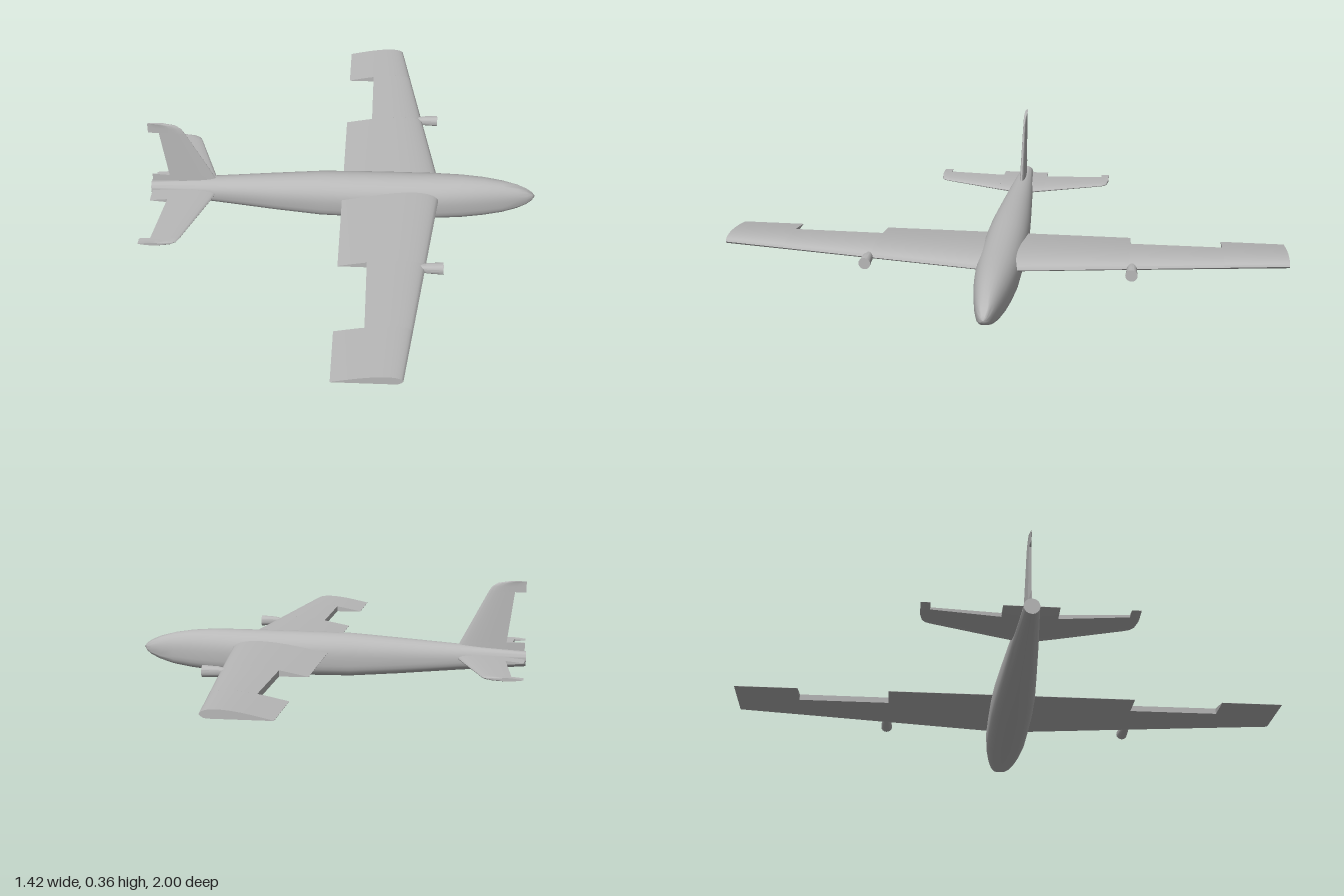
import * as THREE from 'three';
import { toCreasedNormals } from 'three/addons/utils/BufferGeometryUtils.js';

// Joins closed rings of points into a capped solid whose faces point outward
function loft(rings, crease = 0.6) {
  const n = rings[0].length, tris = [];
  for (let i = 0; i < rings.length - 1; i++) {
    for (let j = 0; j < n; j++) {
      const k = (j + 1) % n, a = rings[i], b = rings[i + 1];
      tris.push([a[j], b[j], b[k]], [a[j], b[k], a[k]]);
    }
  }
  const cap = (ring, flip) => {
    const c = [0, 1, 2].map(d => ring.reduce((s, p) => s + p[d], 0) / n);
    for (let j = 0; j < n; j++) {
      const p = ring[j], q = ring[(j + 1) % n];
      tris.push(flip ? [c, q, p] : [c, p, q]);
    }
  };
  cap(rings[0], false);
  cap(rings[rings.length - 1], true);
  // A negative volume means the winding is inside out
  let volume = 0;
  for (const [a, b, c] of tris) {
    volume += new THREE.Vector3(...a).dot(new THREE.Vector3(...b).cross(new THREE.Vector3(...c)));
  }
  if (volume < 0) tris.forEach(t => t.reverse());
  const geo = new THREE.BufferGeometry();
  geo.setAttribute('position', new THREE.Float32BufferAttribute(tris.flat(2), 3));
  return toCreasedNormals(geo, crease);
}

// Thickness of an aerofoil from leading edge (0) to trailing edge (1), peak 1
const foil = u => Math.max(0.04,
  10 * (0.2969 * Math.sqrt(u) - 0.126 * u - 0.3516 * u * u + 0.2843 * u ** 3 - 0.1036 * u ** 4));

// Aerofoil outline as [x, height], cut off behind x = cut
function section(lead, trail, cut, top, bottom, steps = 12) {
  const upper = [], lower = [];
  for (let i = 0; i <= steps; i++) {
    const u = (i / steps) ** 2 * (lead - cut) / (lead - trail);
    const x = lead + (trail - lead) * u;
    upper.unshift([x, top(u)]);
    lower.push([x, bottom(u)]);
  }
  return [...upper, ...lower.slice(1)];
}

export function createModel() {
  const model = new THREE.Group();
  const grey = new THREE.MeshStandardMaterial({ color: 0xb8b8b8 });
  grey.name = 'plain grey';
  const add = (name, geo, parent = model) => {
    const mesh = new THREE.Mesh(geo, grey);
    mesh.name = name;
    parent.add(mesh);
    return mesh;
  };

  // Fuselage stations: x, bottom, top, half width; round above, squarer below
  const stations = [
    [-0.71, 0.055, 0.109, 0.026], [-0.47, 0.035, 0.128, 0.046], [-0.25, 0.015, 0.143, 0.062],
    [-0.08, 0.002, 0.154, 0.073], [0.05, 0, 0.155, 0.077], [0.2, 0, 0.155, 0.077],
    [0.34, 0, 0.155, 0.075], [0.44, 0.003, 0.154, 0.067], [0.52, 0.01, 0.148, 0.057],
    [0.59, 0.02, 0.137, 0.045], [0.645, 0.035, 0.122, 0.033], [0.68, 0.05, 0.107, 0.022],
    [0.7, 0.064, 0.093, 0.012], [0.71, 0.078, 0.081, 0.002],
  ];
  const body = stations.map(([x, low, high, w]) => {
    const ring = [], mid = (low + high) / 2, h = (high - low) / 2;
    const square = THREE.MathUtils.clamp((x + 0.71) / 0.6, 0, 1);
    for (let i = 0; i < 28; i++) {
      const a = i / 28 * Math.PI * 2, c = Math.cos(a), s = Math.sin(a);
      const p = s < 0 ? 2 / (2 + 1.6 * square) : 0.95;
      ring.push([x, mid + h * Math.sign(s) * Math.abs(s) ** p, w * Math.sign(c) * Math.abs(c) ** p]);
    }
    return ring;
  });
  add('fuselage', loft(body, 0.9));

  // Wing panels: start, end and trailing cut; the middle one leaves the flap bay open
  const wingPanels = [[0, 0.45, 0], [0.45, 0.775, 0.1], [0.775, 1, 0]];
  const wingRing = (z, cut, side) => {
    const lead = 0.362 - 0.138 * z, thick = 0.04 - 0.011 * z, base = 0.085 + 0.005 * z;
    const tail = u => (0.092 - base) * u;
    return section(lead, 0, cut,
      u => base + 0.012 * (1 - u) + tail(u) + (thick - 0.009) * foil(u),
      u => base + tail(u) + 0.012 * Math.max(0, 1 - u / 0.1) ** 2,
    ).map(([x, y]) => [x, y, z * side]);
  };

  // Tail panels: rows of [span, lead, cut], with an open bay in the middle
  const tailPanels = [
    [[0, -0.455, -0.705], [0.09, -0.485, -0.705]],
    [[0.09, -0.485, -0.64], [0.315, -0.565, -0.665]],
    [[0.315, -0.565, -0.705], [0.33, -0.573, -0.705], [0.34, -0.588, -0.705], [0.346, -0.625, -0.705]],
  ];
  const finPanels = [
    [[0.08, -0.447, -0.705], [0.14, -0.476, -0.705]],
    [[0.14, -0.476, -0.64], [0.323, -0.572, -0.665]],
    [[0.323, -0.572, -0.705], [0.342, -0.584, -0.705], [0.355, -0.605, -0.705], [0.362, -0.645, -0.705]],
  ];
  const tailRing = ([s, lead, cut], place) => {
    const half = 0.0135 - 0.022 * s;
    return section(lead, -0.705, cut, u => half * foil(u), u => -half * foil(u))
      .map(([x, h]) => place(x, h, s));
  };
  const addTail = (name, panels, place) => {
    const group = new THREE.Group();
    group.name = name;
    model.add(group);
    panels.forEach((rows, i) => add(name + 'Panel' + (i + 1), loft(rows.map(r => tailRing(r, place))), group));
  };

  // Engine pod outline, widening toward the blunt front
  const podProfile = [[0, 0], [0.01, 0], [0.013, 0.03], [0.018, 0.05], [0.019, 0.075], [0.021, 0.105], [0, 0.105]]
    .map(p => new THREE.Vector2(...p));
  const podGeo = toCreasedNormals(new THREE.LatheGeometry(podProfile, 16), 0.6);

  for (const [label, side] of [['right', 1], ['left', -1]]) {
    const wing = new THREE.Group();
    wing.name = label + 'Wing';
    model.add(wing);
    wingPanels.forEach(([z0, z1, cut], i) =>
      add(label + 'WingPanel' + (i + 1), loft([wingRing(z0, cut, side), wingRing(z1, cut, side)]), wing));

    const pod = add(label + 'EnginePod', podGeo);
    pod.rotation.z = -Math.PI / 2;
    pod.position.set(0.255, 0.102, 0.46 * side);

    addTail(label + 'Tailplane', tailPanels, (x, h, s) => [x, 0.084 + h, s * side]);
  }
  addTail('tailFin', finPanels, (x, h, s) => [x, s, h]);

  return model;
}
